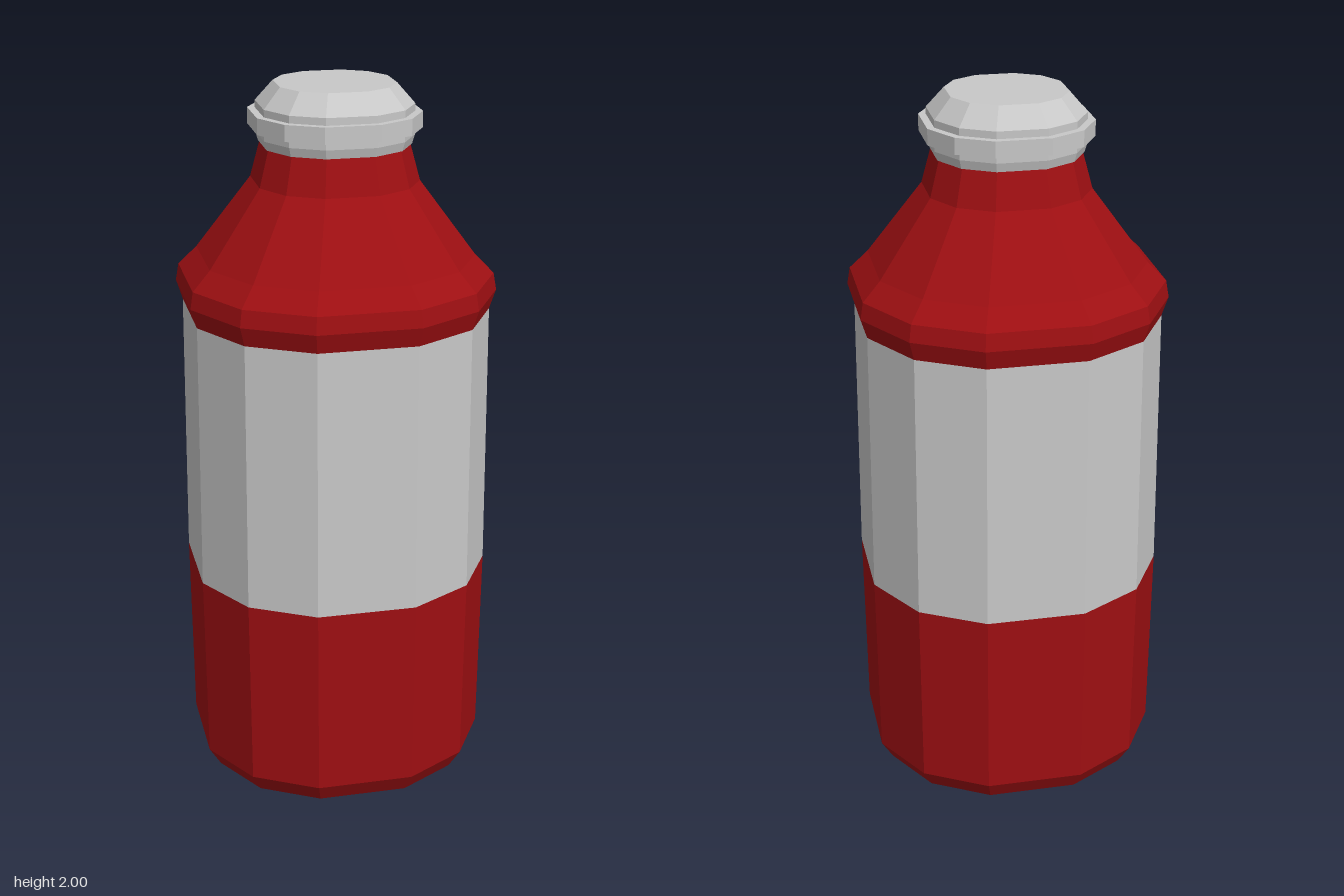
import * as THREE from 'three';

const red = new THREE.MeshStandardMaterial({ color: 0x9e0f12 });
red.name = 'red';
const grey = new THREE.MeshStandardMaterial({ color: 0xc8c8c8 });
grey.name = 'light grey';

// Twelve-sided footprint: a quarter of three corners, turned four times (unit half-width)
const footprint = [];
for (let q = 0; q < 4; q++) {
  const c = Math.round(Math.cos(q * Math.PI / 2)), s = Math.round(Math.sin(q * Math.PI / 2));
  for (const [x, z] of [[1, 0.333], [0.757, 0.757], [0.333, 1]]) {
    footprint.push([x * c - z * s, x * s + z * c]);
  }
}

// Lofts the footprint along a profile of [half-width, y] pairs with flat facets
function loft(name, profile, material) {
  const pos = [];
  const point = (i, [r, y]) => {
    const [x, z] = footprint[i % footprint.length];
    return [x * r, y, z * r];
  };
  for (let k = 0; k < profile.length - 1; k++) {
    const low = profile[k], high = profile[k + 1];
    for (let i = 0; i < footprint.length; i++) {
      const a = point(i, low), b = point(i + 1, low);
      const c = point(i + 1, high), d = point(i, high);
      if (high[0] > 0) pos.push(...a, ...d, ...c);
      if (low[0] > 0) pos.push(...a, ...c, ...b);
    }
  }
  const geometry = new THREE.BufferGeometry();
  geometry.setAttribute('position', new THREE.Float32BufferAttribute(pos, 3));
  geometry.computeVertexNormals();
  const mesh = new THREE.Mesh(geometry, material);
  mesh.name = name;
  return mesh;
}

export function createModel() {
  const bottle = new THREE.Group();
  bottle.name = 'bottle';
  bottle.add(
    // Closed base with a chamfered foot
    loft('lowerBody', [[0, 0], [0.376, 0], [0.41, 0.058], [0.416, 0.61]], red),
    // Wide band around the middle
    loft('label', [[0.416, 0.61], [0.411, 1.375]], grey),
    // Bulging shoulder tapering into the neck
    loft('shoulderAndNeck', [
      [0.411, 1.375], [0.428, 1.43], [0.42, 1.478], [0.37, 1.53],
      [0.222, 1.735], [0.196, 1.835],
    ], red),
    // Cap with a protruding rim and sloped top
    loft('cap', [
      [0, 1.835], [0.2, 1.835], [0.207, 1.86], [0.207, 1.88], [0.227, 1.88],
      [0.227, 1.925], [0.207, 1.925], [0.207, 1.945], [0.16, 2], [0, 2],
    ], grey),
  );
  return bottle;
}
